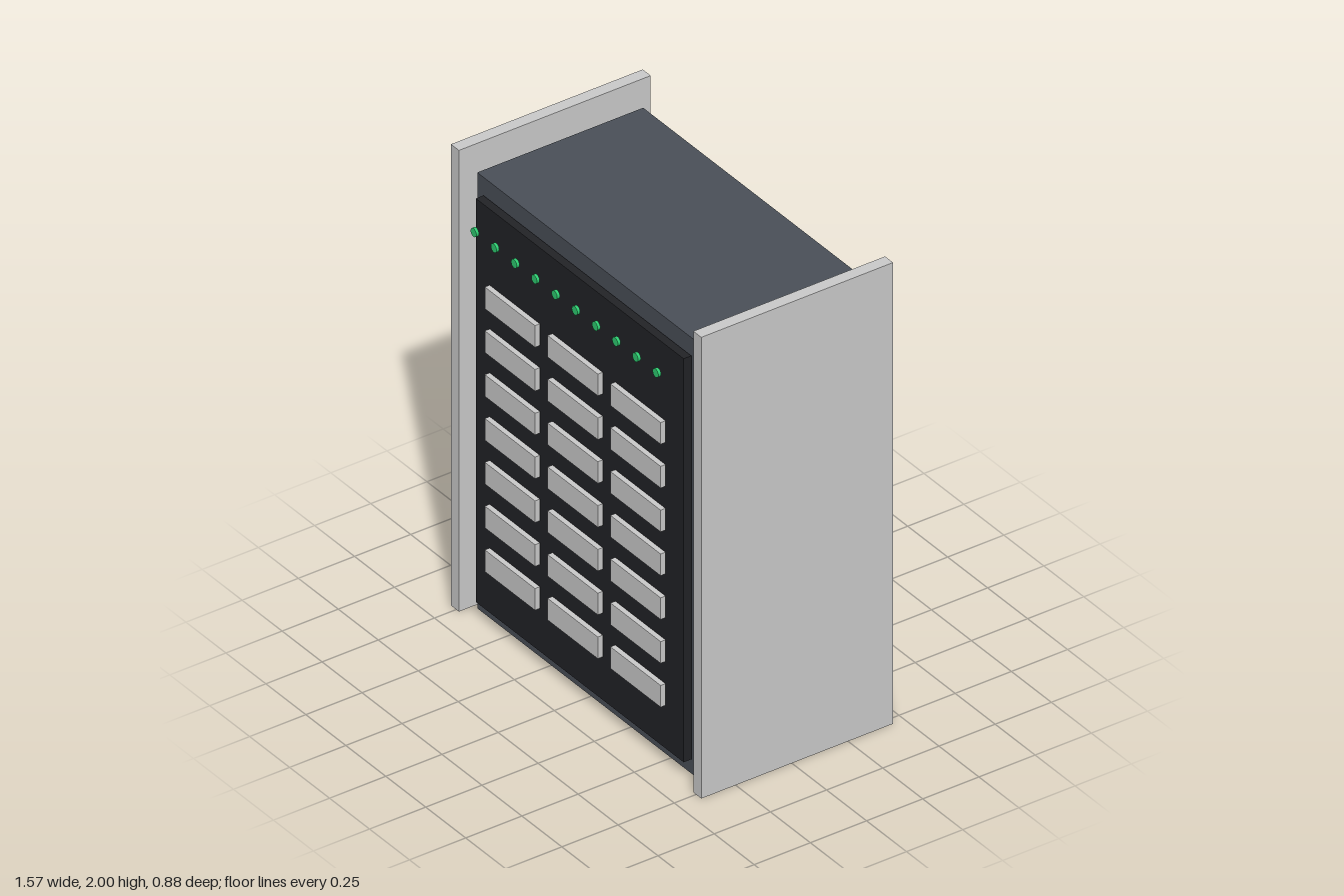
import * as THREE from 'three';

const grey = new THREE.MeshStandardMaterial({ color: 0xcccccc });
const slate = new THREE.MeshStandardMaterial({ color: 0x4a5058 });
const black = new THREE.MeshStandardMaterial({ color: 0x222327 });
const green = new THREE.MeshStandardMaterial({ color: 0x2ecc71 });

// Box given by its centre in x and y, its size, and its back and front z
function box(name, material, x, y, width, height, back, front) {
  const mesh = new THREE.Mesh(new THREE.BoxGeometry(width, height, front - back), material);
  mesh.position.set(x, y, (back + front) / 2);
  mesh.name = name;
  return mesh;
}

export function createModel() {
  const model = new THREE.Group();
  model.name = 'serverCabinet';

  // Cabinet body and the dark panel floating just in front of it
  model.add(box('cabinetBody', slate, 0, 0.955, 1.4, 1.89, -0.393, 0.345));
  model.add(box('frontPanel', black, 0, 0.955, 1.3, 1.75, 0.353, 0.387));

  // Tall side plates, set slightly off the body
  for (const side of [-1, 1]) {
    const name = side > 0 ? 'leftSidePlate' : 'rightSidePlate';
    model.add(box(name, grey, side * 0.758, 1, 0.05, 2, -0.45, 0.403));
  }

  // Drive bays: seven rows of three
  const bays = new THREE.Group();
  bays.name = 'driveBays';
  for (let row = 0; row < 7; row++) {
    for (let column = -1; column <= 1; column++) {
      bays.add(box('driveBay', grey, -0.003 + column * 0.393, 0.322 + row * 0.19, 0.314, 0.094, 0.394, 0.416));
    }
  }
  model.add(bays);

  // Row of round status lights
  const lights = new THREE.Group();
  lights.name = 'statusLights';
  const lightGeometry = new THREE.CylinderGeometry(0.018, 0.018, 0.012, 24).rotateX(Math.PI / 2);
  for (let i = 0; i < 10; i++) {
    const light = new THREE.Mesh(lightGeometry, green);
    light.name = 'statusLight';
    light.position.set(-0.6 + i * 0.1265, 1.726, 0.427);
    lights.add(light);
  }
  model.add(lights);

  return model;
}
